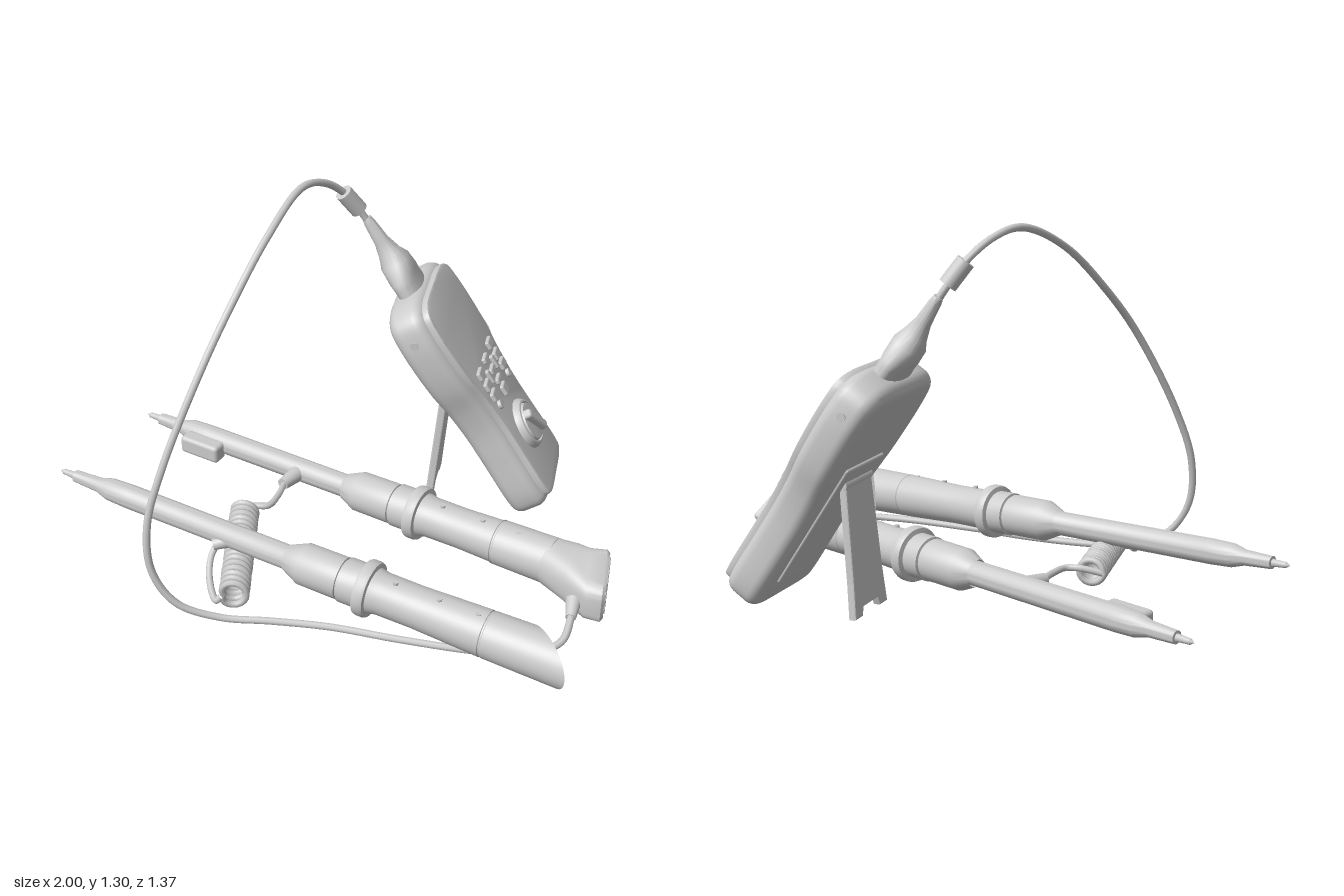
import * as THREE from 'three';
import { toCreasedNormals } from 'three/addons/utils/BufferGeometryUtils.js';
import { RoundedBoxGeometry } from 'three/addons/geometries/RoundedBoxGeometry.js';

const mat = new THREE.MeshStandardMaterial({ color: 0xcccccc });
const V = (x, y, z) => new THREE.Vector3(x, y, z);

function add(parent, name, geo, x = 0, y = 0, z = 0) {
  const m = new THREE.Mesh(geo, mat);
  m.name = name;
  m.position.set(x, y, z);
  parent.add(m);
  return m;
}

// Round wire through a few points
function wire(parent, name, pts, r, seg = 60, sides = 8) {
  const curve = new THREE.CatmullRomCurve3(pts.map(p => V(...p)));
  return add(parent, name, new THREE.TubeGeometry(curve, seg, r, sides));
}

// Round bar between two points
function rod(parent, name, a, b, r0, r1 = r0) {
  const A = V(...a), B = V(...b), d = B.clone().sub(A);
  const m = add(parent, name, new THREE.CylinderGeometry(r1, r0, d.length(), 20));
  m.position.copy(A).add(B).multiplyScalar(0.5);
  m.quaternion.setFromUnitVectors(V(0, 1, 0), d.normalize());
  return m;
}

// Skin over superellipse sections [centre, half axis a, half axis b, exponent]
function loft(sections, n = 40) {
  const pos = [], idx = [];
  const pw = (c, e) => Math.sign(c) * Math.abs(c) ** (2 / e);
  sections.forEach(([c, a, b, e], i) => {
    for (let j = 0; j < n; j++) {
      const t = (j / n) * Math.PI * 2, u = pw(Math.cos(t), e), v = pw(Math.sin(t), e);
      pos.push(...[0, 1, 2].map(k => c[k] + a[k] * u + b[k] * v));
      if (i) {
        const p = (i - 1) * n + j, q = (i - 1) * n + (j + 1) % n;
        idx.push(p, q, q + n, p, q + n, p + n);
      }
    }
  });
  const g = new THREE.BufferGeometry();
  g.setAttribute('position', new THREE.Float32BufferAttribute(pos, 3));
  g.setIndex(idx);
  return toCreasedNormals(g, 0.7);
}

function roundRect(w, h, r, cy, Type = THREE.Shape) {
  const s = new Type();
  [[w / 2 - r, cy + h / 2 - r, 0], [-w / 2 + r, cy + h / 2 - r, 1], [-w / 2 + r, cy - h / 2 + r, 2], [w / 2 - r, cy - h / 2 + r, 3]]
    .forEach(([x, y, k]) => s.absarc(x, y, r, k * Math.PI / 2, (k + 1) * Math.PI / 2, false));
  s.closePath();
  return s;
}

function buildMeter() {
  // Local frame: x across the face, y up the case, z out of the face
  const g = new THREE.Group();
  g.name = 'handheldMeter';
  const up = V(-0.55, 0.835, 0).normalize(), out = V(0.835, 0.55, 0).normalize();
  g.quaternion.setFromRotationMatrix(new THREE.Matrix4().makeBasis(up.clone().cross(out), up, out));
  g.position.z = -0.45;

  // Waisted case outline
  const half = [[0.14, -0.345], [0.182, -0.325], [0.198, -0.27], [0.193, -0.1], [0.191, 0.03], [0.205, 0.14],
    [0.233, 0.25], [0.245, 0.37], [0.242, 0.47], [0.222, 0.545], [0.165, 0.583]];
  const pts = [V(0, -0.35, 0), ...half.map(p => V(...p, 0)), V(0, 0.592, 0), ...half.slice().reverse().map(([x, y]) => V(-x, y, 0))];
  const outline = new THREE.CatmullRomCurve3(pts, true).getPoints(110).slice(0, -1).map(p => new THREE.Vector2(p.x, p.y));
  const caseGeo = new THREE.ExtrudeGeometry(new THREE.Shape(outline),
    { depth: 0.055, bevelThickness: 0.043, bevelSize: 0.043, bevelOffset: -0.043, bevelSegments: 6 });
  add(g, 'case', toCreasedNormals(caseGeo, 0.6), 0, 0, 0.583);

  // Raised face plate with the display opening
  const face = new THREE.Shape(outline);
  face.holes.push(roundRect(0.345, 0.265, 0.015, 0.367, THREE.Path));
  const faceGeo = new THREE.ExtrudeGeometry(face,
    { depth: 0.035, bevelThickness: 0.008, bevelSize: 0.008, bevelOffset: -0.034, bevelSegments: 2 });
  add(g, 'facePlate', toCreasedNormals(faceGeo, 0.6), 0, 0, 0.658);
  add(g, 'screen', new RoundedBoxGeometry(0.335, 0.225, 0.012, 2, 0.004), 0, 0.36, 0.682);

  // Keypad
  const key = (x, y, w, h) => add(g, 'key', new RoundedBoxGeometry(w, h, 0.024, 2, 0.006), x, y, 0.702);
  for (const y of [0.215, 0.165, 0.12]) for (const x of [-0.112, 0, 0.112]) key(x, y, 0.058, x ? 0.034 : 0.022);
  for (const s of [-1, 1]) {
    key(s * 0.055, 0.165, 0.024, 0.055);
    add(g, 'roundKey', new THREE.CylinderGeometry(0.016, 0.017, 0.024, 20), s * 0.112, 0.075, 0.702).rotation.x = Math.PI / 2;
    add(g, 'sideScrew', new THREE.CylinderGeometry(0.016, 0.016, 0.012, 16), s * 0.238, 0.47, 0.61).rotation.z = Math.PI / 2;
  }
  key(0, 0.075, 0.05, 0.042);

  // Rotary selector: dished collar, dial and grip
  const dial = new THREE.LatheGeometry([[0.098, -0.01], [0.096, 0.008], [0.086, 0.024], [0.078, 0.026], [0.074, 0.016], [0.07, 0.03], [0.001, 0.032]]
    .map(p => new THREE.Vector2(...p)), 40);
  add(g, 'selectorDial', toCreasedNormals(dial, 0.5), 0, -0.09, 0.7).rotation.x = Math.PI / 2;
  add(g, 'selectorGrip', new RoundedBoxGeometry(0.036, 0.14, 0.04, 3, 0.012), 0, -0.09, 0.737).rotation.z = 0.6;

  // Plug boot on the top end
  const boot = [[0.55, 0.1, 0.046], [0.62, 0.097, 0.046], [0.645, 0.092, 0.05], [0.7, 0.062, 0.055], [0.735, 0.038, 0.042],
    [0.79, 0.025, 0.027], [0.87, 0.02, 0.02], [0.89, 0.015, 0.015], [0.89, 0.0002, 0.0002]];
  add(g, 'plugBoot', loft(boot.map(([y, a, b]) => [[0, y, 0.62], [a, 0, 0], [0, 0, -b], 2.3])));

  // Back panel
  add(g, 'backPanel', new RoundedBoxGeometry(0.25, 0.5, 0.02, 2, 0.008), 0, 0.02, 0.54);
  return g;
}

function buildStand() {
  // Folding prop with a forked foot
  const s = new THREE.Shape([[-0.11, 0], [-0.06, 0], [-0.05, 0.03], [0.05, 0.03], [0.06, 0], [0.11, 0], [0.1, 0.12], [0.085, 0.46], [-0.085, 0.46], [-0.1, 0.12]]
    .map(p => new THREE.Vector2(...p)));
  const geo = new THREE.ExtrudeGeometry(s, { depth: 0.018, bevelThickness: 0.005, bevelSize: 0.005, bevelOffset: -0.005, bevelSegments: 2 });
  const g = new THREE.Group();
  g.name = 'stand';
  add(g, 'standLeg', geo, 0, 0, -0.009);
  const hinge = add(g, 'standHinge', new THREE.CylinderGeometry(0.018, 0.018, 0.18, 16), 0, 0.45, 0);
  hinge.rotation.z = Math.PI / 2;
  g.rotation.set(0.09, Math.PI / 2, 0, 'YXZ');
  g.position.set(0.3, 0.008, -0.45);
  return g;
}

// Probe along local y, with x level and z up; k shifts the handle, slant cuts the end
function buildProbe(name, from, to, k, end, slant) {
  const g = new THREE.Group();
  g.name = name;
  const d = V(...to).sub(V(...from)).normalize(), x = d.clone().cross(V(0, 1, 0)).normalize();
  g.quaternion.setFromRotationMatrix(new THREE.Matrix4().makeBasis(x, d, x.clone().cross(d)));
  g.position.set(...from);

  const tip = [[0.0005, 0], [0.01, 0.015], [0.013, 0.065], [0.022, 0.066], [0.027, 0.17], [0.041, 0.22], [0.044, 0.3], [0.043, 0.95]];
  const grip = [[0.048, 0.96], [0.074, 1.02], [0.075, 1.17], [0.07, 1.172], [0.07, 1.178], [0.079, 1.18], [0.079, 1.245],
    [0.096, 1.248], [0.099, 1.256], [0.099, 1.28], [0.096, 1.288], [0.08, 1.29], [0.074, 1.32], [0.073, 1.45], [0.078, 1.6]]
    .map(([r, s]) => [r, s + k]);
  const butt = [[0.081, end - 0.21], [0.078, end - 0.208], [0.078, end - 0.203], [0.081, end - 0.2], [0.084, end], [0.0005, end]];
  const geo = new THREE.LatheGeometry([...tip, ...grip, ...butt].map(p => new THREE.Vector2(...p)), 40);
  const p = geo.attributes.position;
  for (let i = 0; i < p.count; i++) if (p.getY(i) > end - 0.01) p.setY(i, p.getY(i) + p.getX(i) * slant);
  add(g, 'probeBody', toCreasedNormals(geo, 0.5));

  // Indicator studs along the handle
  for (const s of [1.37, 1.53, 1.67])
    add(g, 'stud', new THREE.CylinderGeometry(0.009, 0.009, 0.012, 12), 0.012, s + k, 0.075).rotation.x = Math.PI / 2;
  return g;
}

export function createModel() {
  const root = new THREE.Group();
  root.name = 'voltageTester';
  root.add(buildMeter(), buildStand());

  // Two probes lying side by side
  root.add(buildProbe('frontProbe', [-1, 0.19, 0.04], [0.83, 0.098, 0.57], 0, 1.91, 1.15));
  const rear = buildProbe('rearProbe', [-0.853, 0.1, -0.52], [0.8, 0.1, 0.075], -0.04, 1.76, 0);
  root.add(rear);
  add(rear, 'tipClip', new RoundedBoxGeometry(0.065, 0.17, 0.07, 2, 0.015), 0.06, 0.31, -0.01);

  // Display head on the rear probe
  const head = new THREE.Group();
  head.name = 'displayHead';
  root.add(head);
  add(head, 'headShell', loft([
    [[0.78, 0.1, 0.068], [-0.027, 0, 0.077], [0, -0.082, 0], 2],
    [[0.87, 0.1, 0.12], [-0.02, -0.01, 0.092], [0, -0.08, 0], 2.8],
    [[0.93, 0.1, 0.168], [0, -0.022, 0.105], [0, -0.074, 0], 4],
    [[0.985, 0.1, 0.172], [0, -0.024, 0.105], [0, -0.072, 0], 5],
    [[0.995, 0.1, 0.172], [0, -0.022, 0.095], [0, -0.064, 0], 5],
    [[0.995, 0.1, 0.172], [0, -0.0001, 0.0002], [0, -0.0002, 0], 5]]));
  const headBox = (name, y, z, h, w) => {
    add(head, name, new RoundedBoxGeometry(0.01, h, w, 2, 0.004), 0.994, y, z).rotation.x = 0.22;
  };
  headBox('headScreen', 0.107, 0.145, 0.1, 0.12);
  for (const y of [0.06, 0.098]) for (const z of [0.223, 0.248]) headBox('headKey', y + (0.235 - z) * 0.2, z, 0.024, 0.018);

  // Main cable from the meter over to the display head
  rod(root, 'strainRelief', [0.005, 1.12, -0.435], [-0.045, 1.195, -0.405], 0.031);
  wire(root, 'mainCable', [[0.04, 1.06, -0.45], [0.01, 1.11, -0.44], [-0.045, 1.195, -0.405], [-0.1, 1.26, -0.33], [-0.15, 1.285, -0.22],
    [-0.215, 1.2, 0], [-0.29, 1.04, 0.18], [-0.36, 0.865, 0.32], [-0.46, 0.57, 0.465], [-0.505, 0.37, 0.525], [-0.49, 0.2, 0.55],
    [-0.41, 0.08, 0.55], [-0.27, 0.02, 0.52], [-0.1, 0.014, 0.495], [0.1, 0.014, 0.482], [0.35, 0.014, 0.495], [0.62, 0.014, 0.495],
    [0.78, 0.016, 0.47], [0.87, 0.03, 0.41], [0.89, 0.055, 0.32], [0.89, 0.07, 0.26]], 0.013, 240);
  rod(root, 'headBoot', [0.892, 0.075, 0.24], [0.89, 0.055, 0.31], 0.028, 0.018);

  // Coiled lead linking the probes
  const a = V(-0.32, 0.085, 0.0), b = V(-0.24, 0.06, 0.45), axis = b.clone().sub(a).normalize();
  const side = axis.clone().cross(V(0, 1, 0)).normalize(), top = side.clone().cross(axis);
  const coil = [], turns = 17;
  for (let i = 0; i <= turns * 12; i++) {
    const t = (i / 12) * Math.PI * 2;
    coil.push(a.clone().lerp(b, i / (turns * 12)).addScaledVector(side, 0.042 * Math.cos(t)).addScaledVector(top, 0.042 * Math.sin(t)).toArray());
  }
  wire(root, 'coiledLead', coil, 0.0125, turns * 18, 7);
  const first = coil[0], last = coil[coil.length - 1];
  wire(root, 'rearLead', [first, [-0.29, 0.1, -0.015], [-0.24, 0.1, -0.03], [-0.22, 0.1, -0.1], [-0.215, 0.1, -0.2]], 0.012);
  wire(root, 'frontLead', [last, [-0.3, 0.04, 0.46], [-0.345, 0.06, 0.38], [-0.36, 0.1, 0.3], [-0.34, 0.14, 0.245]], 0.012);
  rod(root, 'rearBranch', [-0.17, 0.1, -0.28], [-0.22, 0.1, -0.17], 0.035, 0.022);
  rod(root, 'frontBranch', [-0.27, 0.155, 0.24], [-0.36, 0.13, 0.275], 0.032, 0.02);
  return root;
}
